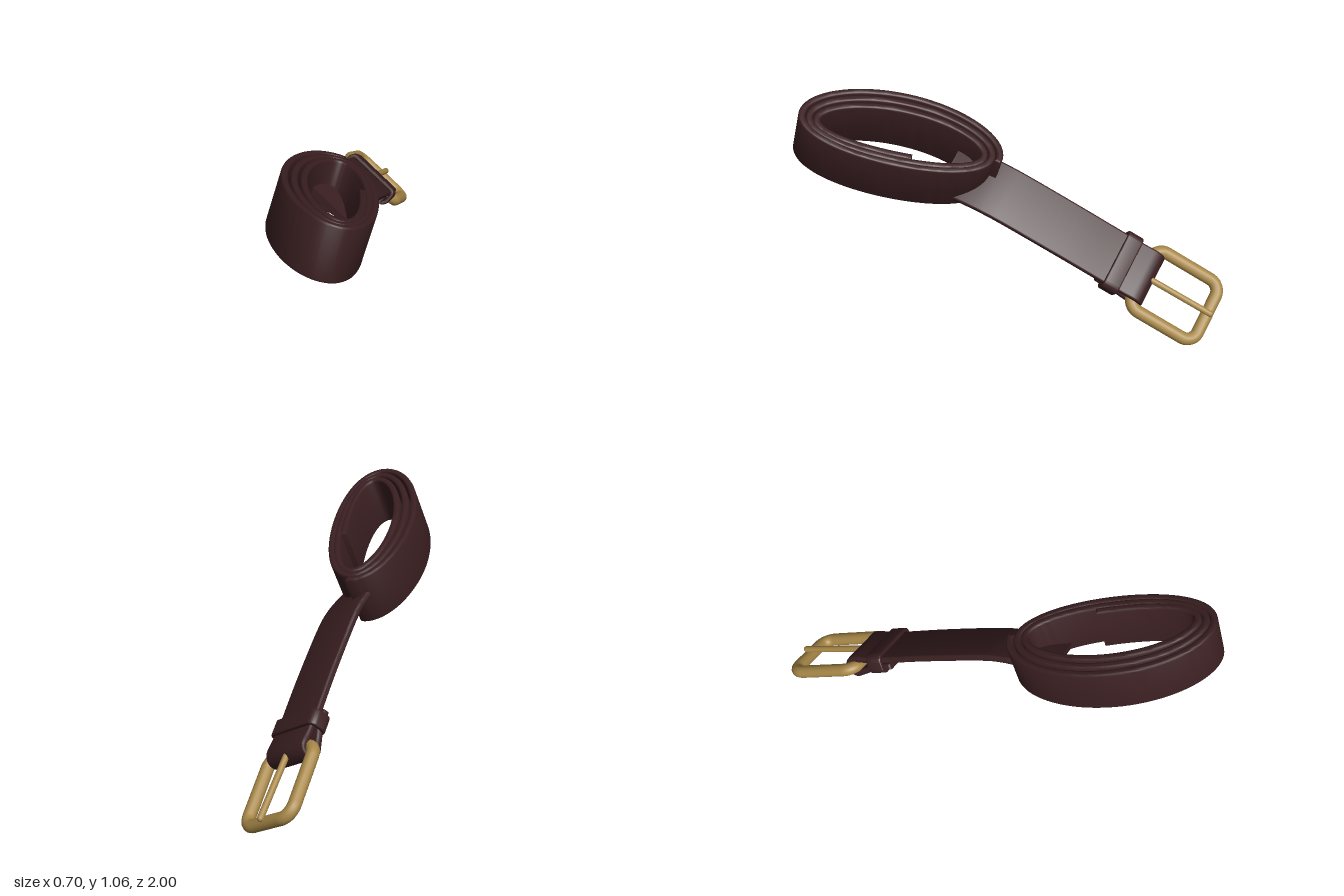
import * as THREE from 'three';
import { toCreasedNormals } from 'three/addons/utils/BufferGeometryUtils.js';

const leather = new THREE.MeshStandardMaterial({ color: 0x3a1f21 });
leather.name = 'dark brown leather';
const brass = new THREE.MeshStandardMaterial({ color: 0xa88848 });
brass.name = 'brass';

function part(name, geometry, material, parent) {
  const mesh = new THREE.Mesh(geometry, material);
  mesh.name = name;
  parent.add(mesh);
  return mesh;
}

// Extrudes a shape with softened edges, centred on its depth.
function softExtrude(shape, depth, bevel) {
  const g = new THREE.ExtrudeGeometry(shape, {
    depth: depth - 2 * bevel, bevelThickness: bevel, bevelSize: bevel,
    bevelOffset: -bevel, bevelSegments: 3, curveSegments: 8,
  });
  g.translate(0, 0, bevel - depth / 2);
  return toCreasedNormals(g, 0.75);
}

// Thickens a flat centreline into a strip of leather.
function strip(points, thickness) {
  const left = [], right = [];
  points.forEach((p, i) => {
    const a = points[Math.max(i - 1, 0)], b = points[Math.min(i + 1, points.length - 1)];
    const n = b.clone().sub(a).normalize();
    n.set(-n.y, n.x).multiplyScalar(thickness / 2);
    left.push(p.clone().add(n));
    right.push(p.clone().sub(n));
  });
  return new THREE.Shape(right.concat(left.reverse()));
}

function roundedRect(x0, y0, x1, y1, r, Type = THREE.Shape) {
  const s = new Type();
  s.absarc(x1 - r, y1 - r, r, 0, Math.PI / 2);
  s.absarc(x0 + r, y1 - r, r, Math.PI / 2, Math.PI);
  s.absarc(x0 + r, y0 + r, r, Math.PI, Math.PI * 1.5);
  s.absarc(x1 - r, y0 + r, r, Math.PI * 1.5, Math.PI * 2);
  s.closePath();
  return s;
}

// Group with local x along xDir and local z as close as possible to zDir.
function tiltedGroup(name, xDir, zDir, position) {
  const x = new THREE.Vector3(...xDir).normalize();
  const z = new THREE.Vector3(...zDir);
  z.addScaledVector(x, -z.dot(x)).normalize();
  const y = z.clone().cross(x);
  const group = new THREE.Group();
  group.name = name;
  group.quaternion.setFromRotationMatrix(new THREE.Matrix4().makeBasis(x, y, z));
  group.position.set(...position);
  return group;
}

export function createModel() {
  const model = new THREE.Group();
  model.name = 'belt';

  // Coil: an oval spiral of nearly three turns, its outer end at the back
  const coil = tiltedGroup('coil', [0.953, -0.28, 0.095], [0.297, 0.929, -0.22], [-0.117, 0.84, 0.525]);
  model.add(coil);
  const start = -0.2, end = Math.PI * 5.5 + 0.2, pitch = 0.035;
  const spiral = [];
  for (let i = 0; i <= 220; i++) {
    const t = end + (start - end) * i / 220;
    const turns = (end - t) / (2 * Math.PI);
    const inset = 0.016 + pitch * turns;
    // the inner turns crowd to the right, and both ends of the oval bow that way
    const bow = 0.008 * turns + 0.02 * Math.sin(t) ** 2;
    // local y points to the back, so the turns run to the front first
    spiral.push(new THREE.Vector2(Math.cos(t) * (0.232 - inset) + bow, -Math.sin(t) * (0.48 - inset)));
  }
  part('coiledStrap', softExtrude(strip(spiral, 0.032), 0.25, 0.01), leather, coil);

  // Straight strap: local x runs to the buckle, y is its face, z its width
  const strap = tiltedGroup('strapAndBuckle', [0.215, -0.57, -1], [0.717, -0.554, 0.424], [0.119, 0.397, -0.452]);
  model.add(strap);
  const V = (x, y) => new THREE.Vector2(x, y);
  const line = new THREE.SplineCurve([
    V(-0.83, -0.105), V(-0.71, -0.055), V(-0.6, -0.022), V(-0.48, -0.008), V(-0.2, 0), V(0.03, 0), V(0.11, 0.004), V(0.185, 0.012),
  ]).getPoints(50);
  // fold around the buckle bar and return underneath
  for (let i = 1; i <= 12; i++) {
    const a = Math.PI / 2 - Math.PI * i / 12;
    line.push(V(0.195 + Math.cos(a) * 0.038, -0.026 + Math.sin(a) * 0.038));
  }
  line.push(V(0.14, -0.05), V(0.09, -0.036), V(0, -0.035));
  part('strap', softExtrude(strip(line, 0.032), 0.26, 0.01), leather, strap);

  // Keeper loop
  const loopShape = roundedRect(-0.15, -0.066, 0.15, 0.036, 0.035);
  loopShape.holes.push(roundedRect(-0.131, -0.047, 0.131, 0.017, 0.018, THREE.Path));
  const loop = part('keeperLoop', softExtrude(loopShape, 0.08, 0.006), leather, strap);
  loop.rotation.y = -Math.PI / 2;
  loop.position.x = 0.07;

  // Buckle frame
  const outline = roundedRect(0.19, -0.157, 0.55, 0.157, 0.06).getSpacedPoints(96);
  outline.pop();
  const framePath = new THREE.CatmullRomCurve3(outline.map((p) => new THREE.Vector3(p.x, -0.024, p.y)), true);
  part('buckleFrame', new THREE.TubeGeometry(framePath, 128, 0.03, 14, true), brass, strap);

  // Prong resting on the far bar
  const prong = part('buckleProng', new THREE.CapsuleGeometry(0.015, 0.325, 6, 12), brass, strap);
  prong.rotation.z = -Math.PI / 2 + 0.04;
  prong.position.set(0.39, 0.008, 0);

  // Rest on the ground, centred
  model.updateMatrixWorld(true);
  const box = new THREE.Box3().setFromObject(model, true);
  const centre = box.getCenter(new THREE.Vector3());
  model.position.set(-centre.x, -box.min.y, -centre.z);
  return model;
}
